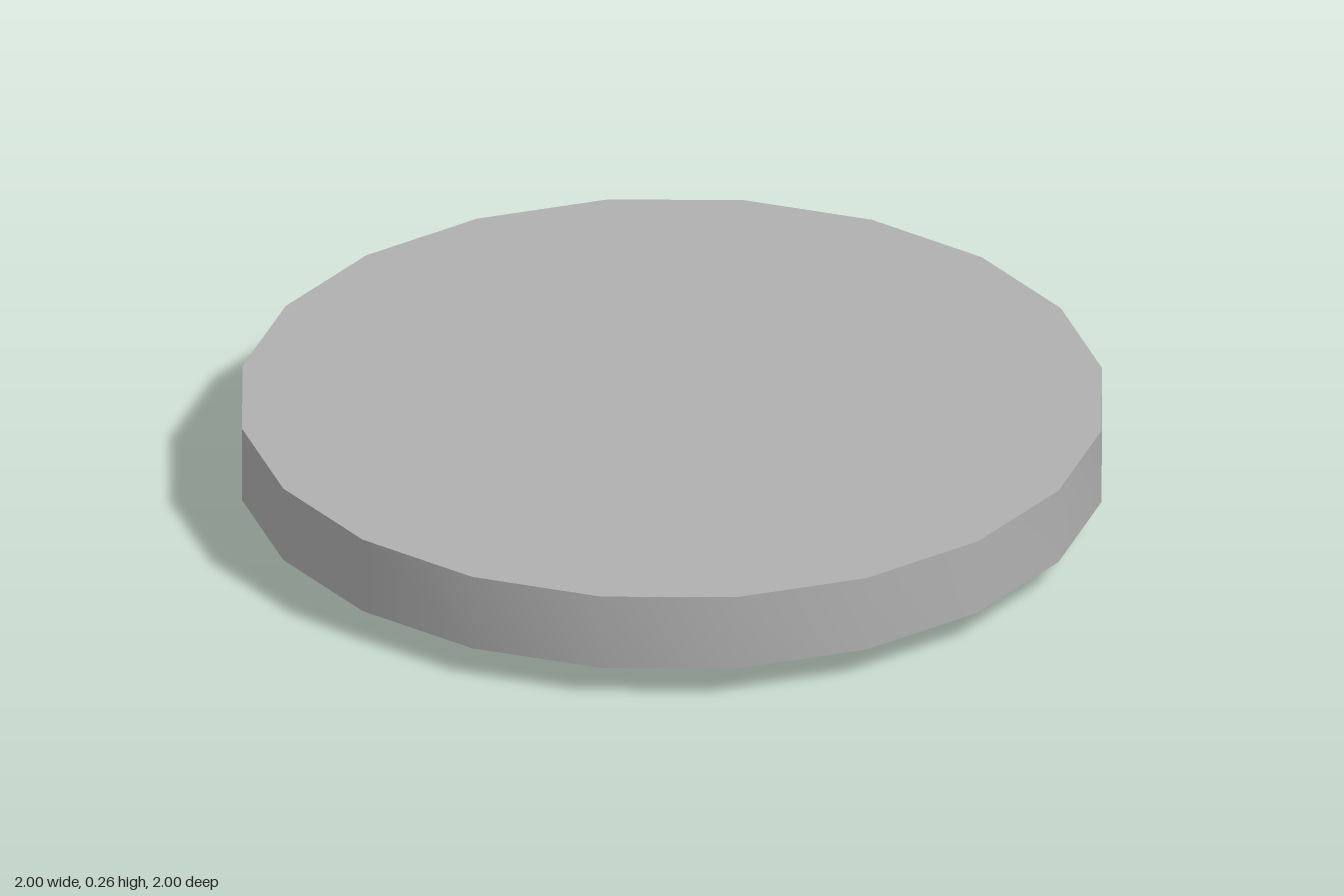
import * as THREE from 'three';
import { toCreasedNormals } from 'three/addons/utils/BufferGeometryUtils.js';

const FLOOR = 0.13; // height of the recessed underside

// Slab hanging below the recess floor: lower face from an outline, plus walls up to the floor.
function slab(outline, mirrored) {
  let pts = outline.map(([x, y, z]) => new THREE.Vector3(mirrored ? -x : x, y, z));
  if (mirrored) pts.reverse();
  const top = pts.map((p) => new THREE.Vector3(p.x, FLOOR + 0.005, p.z));
  const tris = [];
  for (let i = 1; i < pts.length - 1; i++) tris.push(pts[0], pts[i], pts[i + 1]);
  pts.forEach((p, i) => {
    const j = (i + 1) % pts.length;
    tris.push(pts[j], p, top[i], pts[j], top[i], top[j]);
  });
  const geo = new THREE.BufferGeometry().setFromPoints(tris);
  geo.computeVertexNormals();
  return geo;
}

export function createModel() {
  const model = new THREE.Group();
  const grey = new THREE.MeshStandardMaterial({ color: 0xb0b0b0 });
  grey.name = 'plain grey';

  const add = (name, geometry) => {
    const mesh = new THREE.Mesh(geometry, grey);
    mesh.name = name;
    model.add(mesh);
  };

  // Twenty-sided disc with a shallow round recess underneath
  const profile = [
    [0, FLOOR], [0.85, FLOOR], [0.868, 0.065], [1, 0.075], [1, 0.26], [0, 0.26],
  ].map(([r, y]) => new THREE.Vector2(r, y));
  add('disc', toCreasedNormals(new THREE.LatheGeometry(profile, 20), 0.5));

  // Ridged centre block and side wings in the recess
  const halfBlock = [[0, 0, 0.33], [0, 0.035, -0.44], [0.282, 0.067, -0.18], [0.285, 0.05, 0.29]];
  const wing = [[0.28, 0.09, 0.24], [0.28, 0.09, -0.12], [0.667, 0.11, 0.164], [0.602, 0.1, 0.266]];
  for (const [side, mirrored] of [['left', false], ['right', true]]) {
    add(side + 'CentreBlock', slab(halfBlock, mirrored));
    add(side + 'Wing', slab(wing, mirrored));
  }
  return model;
}
